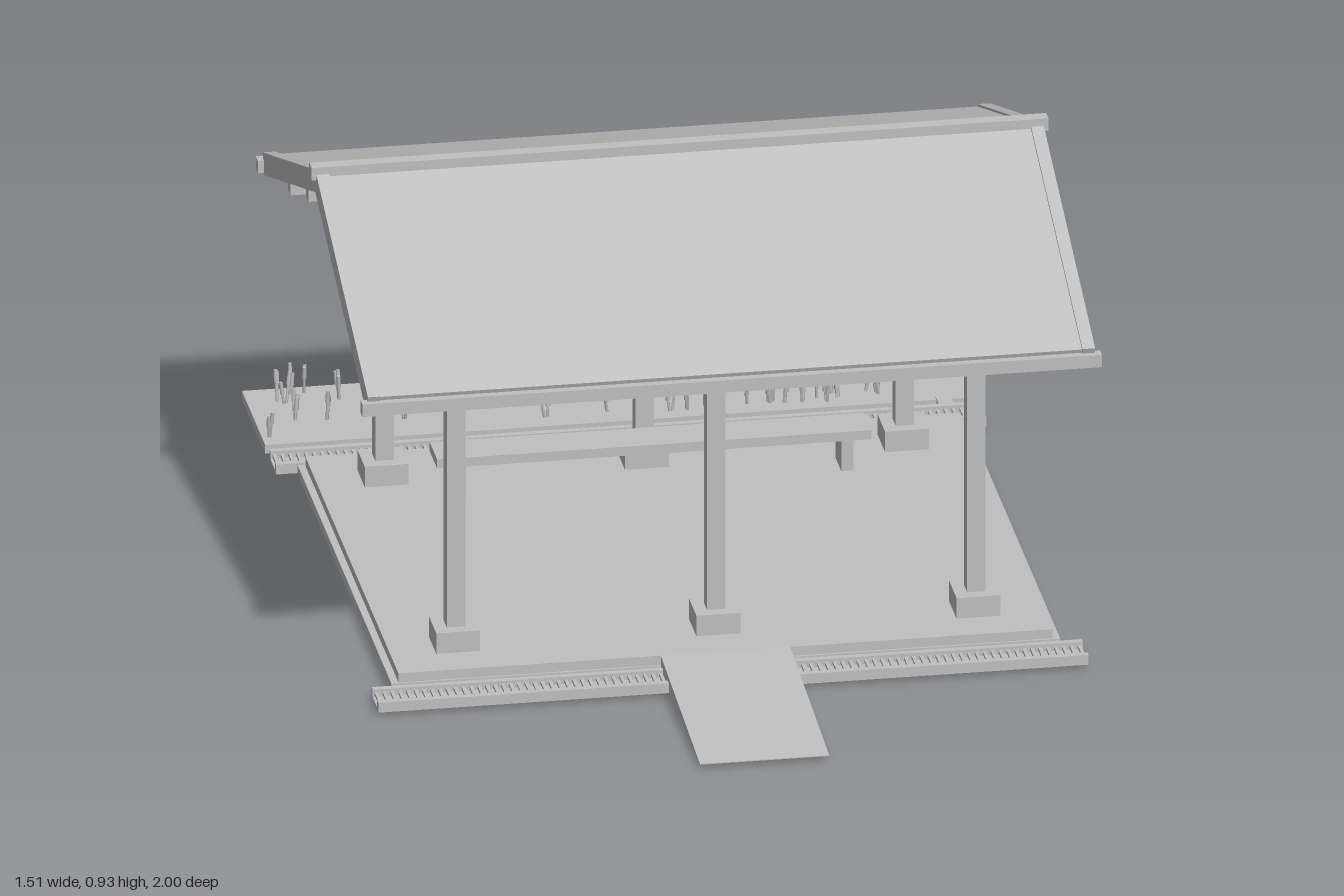
import * as THREE from 'three';
import { mergeGeometries } from 'three/addons/utils/BufferGeometryUtils.js';

export function createModel() {
  const model = new THREE.Group();
  const grey = new THREE.MeshStandardMaterial({ color: 0xbfbfbf });
  grey.name = 'plain grey';
  const ZC = -0.03; // ridge line, the pavilion's own centre

  const add = (name, geo) => {
    const mesh = new THREE.Mesh(geo, grey);
    mesh.name = name;
    model.add(mesh);
    return mesh;
  };
  // box given by its minimum and maximum on each axis
  const span = (x0, x1, y0, y1, z0, z1) =>
    new THREE.BoxGeometry(x1 - x0, y1 - y0, z1 - z0)
      .translate((x0 + x1) / 2, (y0 + y1) / 2, (z0 + z1) / 2);
  // box centred on x and z, running from y0 to y1
  const block = (x, z, w, d, y0, y1) => span(x - w / 2, x + w / 2, y0, y1, z - d / 2, z + d / 2);
  // sloping beam in the yz plane between two centre points
  const beam = (x, w, t, za, ya, zb, yb) =>
    new THREE.BoxGeometry(w, t, Math.hypot(zb - za, yb - ya))
      .rotateX(-Math.atan2(yb - ya, zb - za))
      .translate(x, (ya + yb) / 2, (za + zb) / 2);

  // floor
  add('floorSlab', span(-0.67, 0.67, 0.03, 0.05, ZC - 0.56, ZC + 0.56));
  add('floorBase', span(-0.685, 0.685, 0.01, 0.03, ZC - 0.565, ZC + 0.565));

  // entrance ramp
  const wedge = new THREE.Shape([[-0.53, 0.01], [-0.53, 0.05], [-1, 0.012], [-1, 0.01]]
    .map(([a, b]) => new THREE.Vector2(a, b)));
  add('ramp', new THREE.ExtrudeGeometry(wedge, { depth: 0.265, bevelEnabled: false })
    .rotateY(Math.PI / 2).translate(-0.1325, 0, 0));

  // drains with gratings, front and back
  for (const s of [1, -1]) {
    const z = ZC + s * 0.615;
    const parts = [block(0, z, 1.455, 0.08, 0.008, 0.014)];
    for (const e of [1, -1]) parts.push(block(0, z + e * 0.034, 1.455, 0.014, 0.01, 0.03));
    for (let i = 0; i < 90; i++) parts.push(block(-0.72 + i * 1.44 / 89, z, 0.007, 0.056, 0.018, 0.024));
    add(s > 0 ? 'frontDrain' : 'backDrain', mergeGeometries(parts));
  }
  add('drainOutlet', span(0.645, 0.675, 0.014, 0.027, -0.73, -0.675));

  // planting bed
  add('plantingBed', span(-0.73, 0.73, 0.005, 0.024, -1, -0.72));
  let seed = 7;
  const rand = (a, b) => {
    seed = (seed * 16807) % 2147483647;
    return a + (b - a) * seed / 2147483647;
  };
  const reeds = [];
  for (let i = 0; i < 75; i++) {
    const x = rand(-0.715, 0.7), z = rand(-0.975, -0.745);
    for (let k = 0; k < 2; k++) {
      const h = rand(0.062, 0.09), turn = rand(0, 6.28), tilt = rand(0.05, 0.2);
      for (const part of [
        new THREE.CylinderGeometry(0.0025, 0.0035, h, 5).translate(0, h / 2, 0),
        new THREE.CylinderGeometry(0.004, 0.005, 0.026, 5).translate(0, h - 0.01, 0),
      ]) reeds.push(part.rotateZ(tilt).rotateY(turn).translate(x, 0.002, z));
    }
  }
  add('reeds', mergeGeometries(reeds));

  // bench
  add('benchSeat', span(-0.445, 0.445, 0.12, 0.14, -0.415, -0.325));
  for (const s of [1, -1]) add('benchLeg', block(s * 0.397, -0.37, 0.025, 0.07, 0.05, 0.12));

  // posts with footings and brackets, and one truss on each pair
  for (const x of [-0.533, 0, 0.533]) {
    for (const s of [1, -1]) {
      const z = ZC + s * 0.43;
      add('footing', block(x, z, 0.09, 0.09, 0.05, 0.095));
      add('post', block(x, z, 0.038, 0.038, 0.095, 0.65));
      add('capital', block(x, z, 0.064, 0.058, 0.622, 0.65));
      add('bracketAcross', block(x, z, 0.11, 0.045, 0.635, 0.658));
      add('bracketAlong', block(x, z, 0.045, 0.11, 0.65, 0.685));
      add('trussPost', block(x, ZC + s * 0.216, 0.028, 0.028, 0.685, 0.77));
      add('trussBrace', beam(x, 0.024, 0.022, ZC + s * 0.3, 0.69, ZC, 0.852));
    }
    add('tieBeam', block(x, ZC, 0.04, 0.86, 0.637, 0.685));
    add('kingPost', block(x, ZC, 0.03, 0.03, 0.685, 0.85));
  }

  // lengthwise beams
  for (const [dz, y] of [[0.43, 0.69], [0.216, 0.767], [0, 0.842], [-0.216, 0.767], [-0.43, 0.69]])
    add('purlin', block(0, ZC + dz, 1.45, 0.03, y, y + 0.03));

  // roof slopes
  const slope = 0.365;
  for (const s of [1, -1]) {
    // sloping piece whose centre line meets the ridge at height y
    const rafter = (name, x, w, t, y, run) =>
      add(name, beam(x, w, t, ZC, y, ZC + s * run, y - run * slope));
    rafter('roofPanel', 0, 1.47, 0.016, 0.911, 0.625);
    for (let i = 0; i < 15; i++) rafter('rafter', -0.728 + i * 0.104, 0.018, 0.026, 0.89, 0.615);
    for (const e of [1, -1]) rafter('bargeBoard', e * 0.732, 0.026, 0.046, 0.9, 0.625);
    add('eaveBoard', block(0, ZC + s * 0.63, 1.515, 0.024, 0.655, 0.682));
  }
  add('ridgeCap', block(0, ZC, 1.51, 0.028, 0.908, 0.935));

  return model;
}
